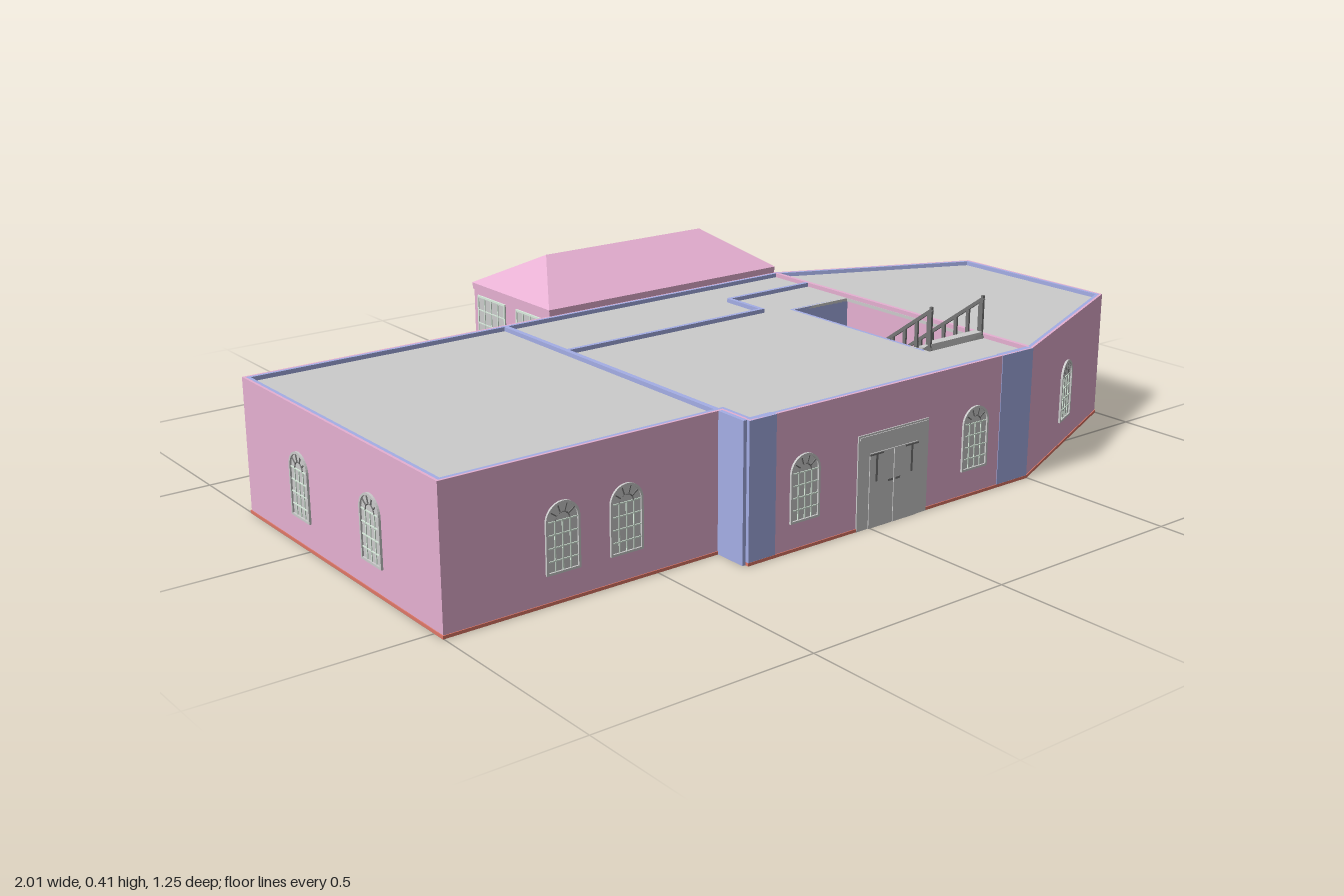
import * as THREE from 'three';

const mat = (color) => new THREE.MeshStandardMaterial({ color, flatShading: true, side: THREE.DoubleSide });
const PINK = mat(0xe6b0d2), BLUE = mat(0xa5aee6), GREY = mat(0xcccccc), RED = mat(0xe07868), PALE = mat(0xdcefe0), DARK = mat(0x777777);

const H = 0.312, ROOF_Y = 0.302;
// Footprint corners as (x, -z)
const PLAN = [[-1, 0.28], [0.497, 0.28], [0.998, 0.058], [0.998, -0.4], [0.497, -0.617], [-0.335, -0.617], [-0.335, -0.53], [-1, -0.53]]
  .map(([x, y]) => new THREE.Vector2(x, y));

function add(parent, name, geometry, material, x = 0, y = 0, z = 0) {
  const m = new THREE.Mesh(geometry, material);
  m.name = name;
  m.position.set(x, y, z);
  parent.add(m);
  return m;
}

const box = (parent, name, material, w, h, d, x, y, z) => add(parent, name, new THREE.BoxGeometry(w, h, d), material, x, y, z);

// Box given by its limits
const span = (parent, name, material, x0, x1, y0, y1, z0, z1) =>
  box(parent, name, material, x1 - x0, y1 - y0, z1 - z0, (x0 + x1) / 2, (y0 + y1) / 2, (z0 + z1) / 2);

// Footprint moved inwards by d with mitred corners
function inset(d) {
  const n = PLAN.length;
  const normal = (a, b) => new THREE.Vector2(b.y - a.y, a.x - b.x).normalize();
  return PLAN.map((p, i) => {
    const n1 = normal(PLAN[(i + n - 1) % n], p), n2 = normal(p, PLAN[(i + 1) % n]);
    return p.clone().addScaledVector(n1.clone().add(n2), d / (1 + n1.dot(n2)));
  });
}

// Horizontal slab or ring extruded upwards
function slab(points, hole, height) {
  const s = new THREE.Shape(points);
  if (hole) s.holes.push(new THREE.Path(hole));
  return new THREE.ExtrudeGeometry(s, { depth: height, bevelEnabled: false }).rotateX(-Math.PI / 2);
}

function archShape(Type, w, y0, y1) {
  const r = w / 2, s = new Type();
  s.moveTo(-r, y0);
  s.lineTo(r, y0);
  s.lineTo(r, y1 - r);
  s.absarc(0, y1 - r, r, 0, Math.PI, false);
  s.lineTo(-r, y0);
  return s;
}

// Arched window with glazing bars and a fan light
function archedWindow() {
  const g = new THREE.Group(), w = 0.08, y0 = 0.064, y1 = 0.212, spring = y1 - w / 2;
  g.name = 'archedWindow';
  const opt = (depth) => ({ depth, bevelEnabled: false, curveSegments: 10 });
  const frame = archShape(THREE.Shape, w, y0, y1);
  frame.holes.push(archShape(THREE.Path, w - 0.01, y0 + 0.005, y1 - 0.005));
  add(g, 'windowFrame', new THREE.ExtrudeGeometry(frame, opt(0.006)), GREY, 0, 0, -0.001);
  add(g, 'windowGlass', new THREE.ExtrudeGeometry(archShape(THREE.Shape, w - 0.008, y0 + 0.004, y1 - 0.004), opt(0.002)), GREY, 0, 0, -0.001);
  for (const x of [-0.018, 0, 0.018]) box(g, 'glazingBar', PALE, 0.0025, spring - y0, 0.002, x, (y0 + spring) / 2, 0.002);
  for (let i = 1; i <= 4; i++) box(g, 'glazingBar', PALE, w - 0.01, 0.0025, 0.002, 0, y0 + (spring - y0) * i / 4, 0.002);
  add(g, 'fanArc', new THREE.TorusGeometry(0.017, 0.0015, 4, 10, Math.PI), DARK, 0, spring, 0.002);
  for (let i = 1; i <= 4; i++) {
    const a = Math.PI * i / 5;
    box(g, 'fanSpoke', DARK, 0.02, 0.0025, 0.002, Math.cos(a) * 0.027, spring + Math.sin(a) * 0.027, 0.002).rotation.z = a;
  }
  return g;
}

// Tall gridded garden room window
function tallWindow() {
  const g = new THREE.Group(), w = 0.126, y0 = 0.02, y1 = 0.297, mid = (y0 + y1) / 2;
  g.name = 'tallWindow';
  box(g, 'tallGlass', GREY, w, y1 - y0, 0.002, 0, mid, 0);
  for (let i = 0; i <= 4; i++) box(g, 'glazingBar', PALE, i % 4 ? 0.0025 : 0.005, y1 - y0, 0.004, (i / 4 - 0.5) * (w - 0.005), mid, 0.001);
  for (let i = 0; i <= 8; i++) box(g, 'glazingBar', PALE, w, i % 8 ? 0.0025 : 0.005, 0.004, 0, y0 + (y1 - y0) * i / 8, 0.001);
  return g;
}

function place(parent, item, x, z, nx, nz) {
  item.position.set(x, 0, z);
  item.rotation.y = Math.atan2(nx, nz);
  parent.add(item);
}

function entrance() {
  const g = new THREE.Group();
  g.name = 'entrance';
  box(g, 'doorSurround', GREY, 0.208, 0.215, 0.004, 0, 0.1075, 0);
  for (const s of [-1, 1]) {
    box(g, 'doorLeaf', GREY, 0.07, 0.17, 0.004, s * 0.036, 0.085, 0.002);
    box(g, 'doorPanel', DARK, 0.006, 0.06, 0.003, s * 0.052, 0.135, 0.004);
    box(g, 'doorPanelTop', DARK, 0.04, 0.004, 0.003, s * 0.052, 0.167, 0.004);
    box(g, 'doorHandle', DARK, 0.014, 0.005, 0.004, s * 0.011, 0.1, 0.004);
  }
  box(g, 'doorLintel', GREY, 0.2, 0.006, 0.006, 0, 0.208, 0.001);
  return g;
}

// Stair rising to the roof with a railing on each side
function stair() {
  const g = new THREE.Group(), z0 = 0.13, z1 = 0.468, y0 = 0.076, n = 18, rise = (0.318 - y0) / n, run = (z1 - z0) / n;
  g.name = 'stair';
  span(g, 'landing', GREY, 0.325, 0.49, y0 - 0.012, y0, 0.012, z0);
  for (let i = 0; i < n; i++) {
    const y = y0 + (i + 1) * rise, z = z0 + (i + 0.5) * run;
    box(g, 'tread', GREY, 0.165, 0.006, run + 0.003, 0.4075, y - 0.003, z);
    if (i % 2) for (const x of [0.324, 0.491]) box(g, 'baluster', DARK, 0.005, 0.078, 0.009, x, y + 0.036, z);
  }
  const slope = Math.atan2(rise, run), len = Math.hypot(z1 - z0, rise * n);
  for (const x of [0.324, 0.491]) {
    for (const [name, lift, t] of [['handrail', 0.08, 0.008], ['stringer', -0.008, 0.014]]) {
      box(g, name, DARK, 0.006, t, len, x, y0 + rise * n / 2 + lift, (z0 + z1) / 2).rotation.x = -slope;
    }
    span(g, 'newelPost', DARK, x - 0.003, x + 0.003, 0.3, 0.404, z1 - 0.006, z1);
  }
  return g;
}

// Hipped roof from an eave rectangle and a ridge
function hipRoof(x0, x1, z0, z1, y, rx0, rx1, rz, ry) {
  const g = new THREE.BufferGeometry();
  g.setAttribute('position', new THREE.Float32BufferAttribute(
    [x0, y, z1, x1, y, z1, x1, y, z0, x0, y, z0, rx0, ry, rz, rx1, ry, rz], 3));
  g.setIndex([0, 1, 5, 0, 5, 4, 1, 2, 5, 2, 3, 4, 2, 4, 5, 3, 0, 4]);
  const flat = g.toNonIndexed();
  flat.computeVertexNormals();
  return flat;
}

function gardenRoom() {
  const g = new THREE.Group(), x0 = -0.208, x1 = 0.495, z0 = -0.62, z1 = -0.28;
  g.name = 'gardenRoom';
  span(g, 'gardenRoomWalls', PINK, x0, x1, 0, 0.312, z0, z1);
  span(g, 'gardenRoomPlinth', RED, x0 - 0.002, x1 + 0.002, 0, 0.008, z0 - 0.002, z1);
  span(g, 'eaves', PINK, x0 - 0.003, x1 + 0.003, 0.312, 0.328, z0 - 0.003, z1 + 0.003);
  add(g, 'hipRoof', hipRoof(x0 - 0.004, x1 + 0.004, z0 - 0.004, z1 + 0.004, 0.328, -0.1, 0.385, -0.452, 0.415), PINK);
  for (let i = 0; i < 4; i++) place(g, tallWindow(), x0 + (x1 - x0) * (i + 0.5) / 4, z0 - 0.001, 0, -1);
  for (const z of [-0.362, -0.538]) {
    place(g, tallWindow(), x0 - 0.001, z, -1, 0);
    place(g, tallWindow(), x1 + 0.001, z, 1, 0);
  }
  // Roof light on the rear slope
  const light = new THREE.Group();
  light.name = 'roofLight';
  box(light, 'roofLightFrame', RED, 0.137, 0.008, 0.092, 0, 0, 0);
  box(light, 'roofLightGlass', GREY, 0.121, 0.01, 0.076, 0, 0, 0);
  light.position.set(0.146, 0.3695, -0.543);
  light.rotation.x = -Math.atan2(0.087, 0.172);
  g.add(light);
  return g;
}

export function createModel() {
  const model = new THREE.Group();
  model.name = 'building';

  // Outer walls with blue lining, plinth and floor
  add(model, 'outerWalls', slab(PLAN, inset(0.006), H), PINK);
  add(model, 'wallLining', slab(inset(0.006), inset(0.014), H), BLUE);
  add(model, 'plinth', slab(inset(-0.002), inset(0.002), 0.007), RED);
  add(model, 'floor', slab(inset(0.002), null, 0.004), GREY);

  // Flat roof open over the stair
  const well = [[0.318, -0.008], [0.494, -0.008], [0.494, -0.47], [0.318, -0.47]].map(([x, y]) => new THREE.Vector2(x, y));
  add(model, 'flatRoof', slab(inset(0.01), well, 0.008), GREY, 0, ROOF_Y - 0.008, 0);

  // Inner walls whose tops show above the roof
  span(model, 'innerWall', BLUE, -0.345, -0.333, 0, H, -0.275, 0.61);
  span(model, 'innerWall', PINK, 0.495, 0.505, 0, H, -0.27, 0.605);
  span(model, 'innerWall', BLUE, -0.335, 0.24, 0, H, -0.025, -0.015);
  span(model, 'innerWall', BLUE, 0.232, 0.242, 0, H, -0.145, -0.015);
  span(model, 'innerWall', BLUE, 0.235, 0.497, 0, H, -0.15, -0.14);
  span(model, 'stairwellWall', BLUE, 0.31, 0.318, 0, ROOF_Y, 0, 0.47);
  span(model, 'stairwellWall', BLUE, 0.31, 0.5, 0, ROOF_Y, 0, 0.008);

  // Blue panels at the front corners
  span(model, 'cornerPanel', BLUE, -0.3365, -0.265, 0.007, H, 0.6, 0.6185);
  span(model, 'cornerPanel', BLUE, 0.398, 0.4975, 0.007, H, 0.6, 0.6185);

  // Arched windows as x, z and outward direction
  const windows = [
    [-0.73, 0.53, 0, 1], [-0.578, 0.53, 0, 1], [-0.186, 0.617, 0, 1], [0.318, 0.617, 0, 1],
    [0.7475, 0.5085, 0.217, 0.501], [0.7475, -0.169, 0.222, -0.501],
    [0.998, 0.327, 1, 0], [0.998, 0.175, 1, 0], [0.998, 0.022, 1, 0],
    [-0.775, -0.28, 0, -1], [-0.625, -0.28, 0, -1], [-1, -0.03, -1, 0], [-1, 0.27, -1, 0],
  ];
  for (const w of windows) place(model, archedWindow(), ...w);

  place(model, entrance(), 0.066, 0.618, 0, 1);
  model.add(stair(), gardenRoom());
  return model;
}
